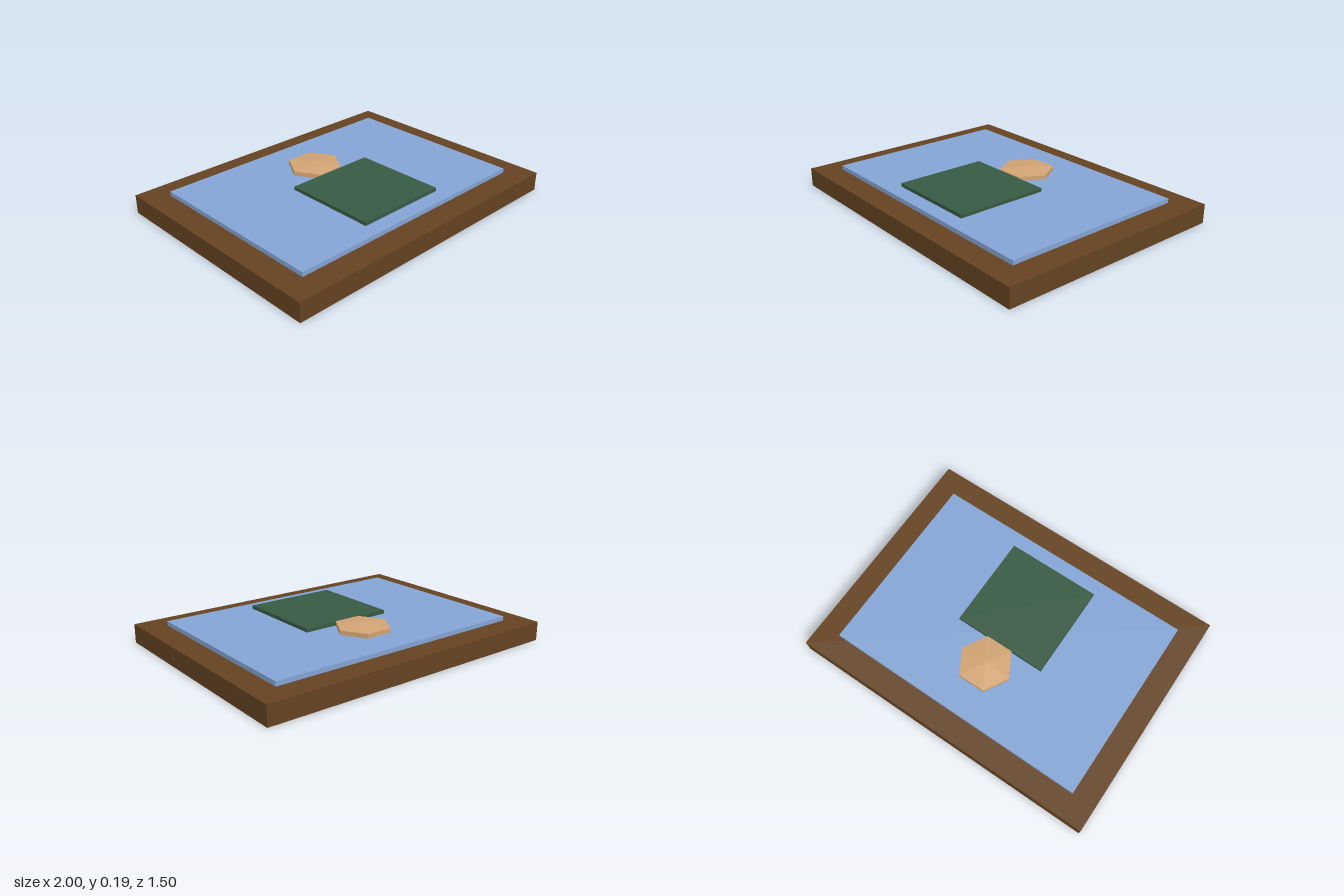
import * as THREE from 'three';

export function createModel() {
  const model = new THREE.Group();
  model.name = 'model';

  const material = (name, color) => {
    const m = new THREE.MeshStandardMaterial({ color });
    m.name = name;
    return m;
  };
  const brown = material('brown wood', 0x654321);
  const blue = material('pale blue', 0x84a5d5);
  const green = material('dark green', 0x375a43);
  const tan = material('tan', 0xd2a474);
  tan.flatShading = true;

  const add = (name, geometry, mat, x, y, z) => {
    const mesh = new THREE.Mesh(geometry, mat);
    mesh.name = name;
    mesh.position.set(x, y, z);
    model.add(mesh);
  };
  // Flat block given by its footprint and its bottom and top heights
  const slab = (name, mat, w, d, y0, y1, z) =>
    add(name, new THREE.BoxGeometry(w, y1 - y0, d), mat, 0, (y0 + y1) / 2, z);

  // Stacked layers
  slab('base', brown, 2, 1.5, 0, 0.12, 0);
  slab('blueSheet', blue, 1.7, 1.2, 0.12, 0.148, 0);
  slab('greenPanel', green, 0.6, 0.6, 0.148, 0.17, 0.2);

  // Six-sided disc with a shallow pointed top, corners on the x axis
  const profile = [[0, 0], [0.173, 0], [0.173, 0.027], [0, 0.042]]
    .map(([r, y]) => new THREE.Vector2(r, y));
  add('hexagonalCap', new THREE.LatheGeometry(profile, 6, Math.PI / 2), tan, 0, 0.148, -0.25);

  return model;
}
